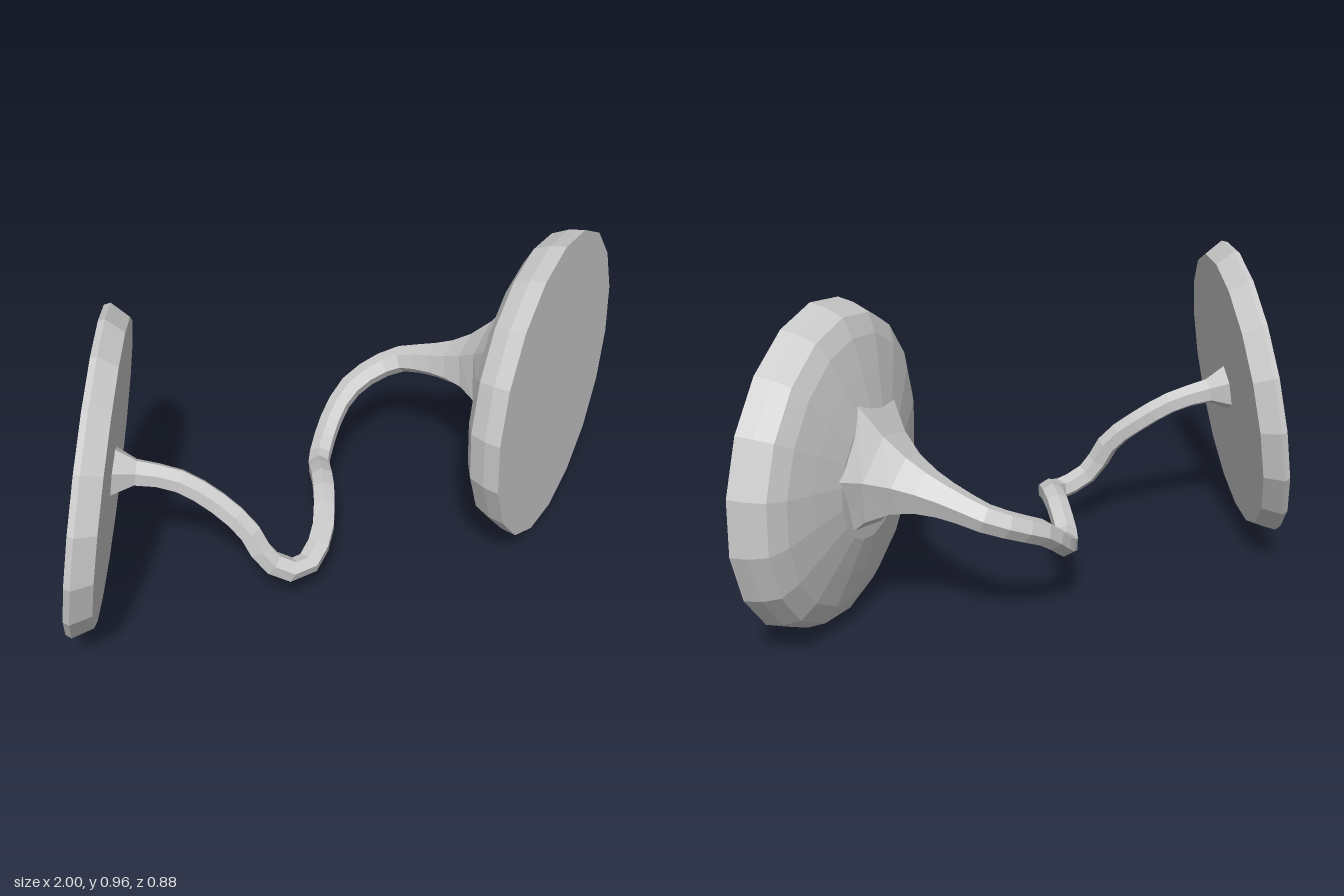
import * as THREE from 'three';

const material = new THREE.MeshStandardMaterial({ color: 0xcccccc, flatShading: true, side: THREE.DoubleSide });
const vec = (p) => new THREE.Vector3(...p);

// Turned disc whose axis (profile y) points along the given direction
function disc(name, profile, sides, centre, axis) {
  const geometry = new THREE.LatheGeometry(profile.map(([r, y]) => new THREE.Vector2(r, y)), sides);
  const mesh = new THREE.Mesh(geometry, material);
  mesh.name = name;
  mesh.position.copy(centre);
  mesh.quaternion.setFromUnitVectors(new THREE.Vector3(0, 1, 0), axis);
  return mesh;
}

// Tube along a curve with a radius rule applied ring by ring
function taperedTube(name, curve, segments, sides, radiusAt) {
  const geometry = new THREE.TubeGeometry(curve, segments, 1, sides);
  const position = geometry.attributes.position;
  const v = new THREE.Vector3();
  for (let i = 0; i <= segments; i++) {
    const c = curve.getPointAt(i / segments);
    const radius = radiusAt(c);
    for (let j = 0; j <= sides; j++) {
      const k = i * (sides + 1) + j;
      v.fromBufferAttribute(position, k).sub(c).multiplyScalar(radius).add(c);
      position.setXYZ(k, v.x, v.y, v.z);
    }
  }
  geometry.computeVertexNormals();
  const mesh = new THREE.Mesh(geometry, material);
  mesh.name = name;
  return mesh;
}

export function createModel() {
  const group = new THREE.Group();
  group.name = 'linkedDiscs';

  // Flat disc on the right, its smaller face turned inward
  const rightAxis = vec([0.905, -0.15, 0.39]).normalize();
  const rightCentre = vec([-0.81, 0.5, -0.012]);
  group.add(disc('flatDisc',
    [[0, 0], [0.465, 0], [0.473, 0.018], [0.44, 0.075], [0, 0.075]],
    18, rightCentre, rightAxis));

  // Domed disc on the left, flat face turned outward
  const leftAxis = vec([0.63, 0.02, 0.77]).normalize();
  const leftCentre = vec([0.625, 0.48, 0.145]);
  group.add(disc('domedDisc',
    [[0, -0.19], [0.19, -0.185], [0.3, -0.157], [0.395, -0.13], [0.45, -0.1], [0.472, -0.05], [0.481, 0], [0, 0]],
    18, leftCentre, leftAxis));

  // Winding cord, with a small foot at one end and a cone-shaped neck at the other
  const path = [
    [-0.745, 0.495, 0.02], [-0.68, 0.485, 0.045], [-0.58, 0.455, 0.085], [-0.49, 0.39, 0.14],
    [-0.42, 0.31, 0.2], [-0.37, 0.2, 0.24], [-0.28, 0.15, 0.26], [-0.19, 0.185, 0.2],
    [-0.13, 0.24, 0.09], [-0.095, 0.24, -0.01], [-0.045, 0.19, -0.15], [0.05, 0.26, -0.26],
    [0.12, 0.32, -0.295], [0.2, 0.36, -0.305], [0.295, 0.4, -0.28], [0.36, 0.43, -0.2],
    [0.425, 0.455, -0.11], [0.49, 0.475, -0.025], [0.525, 0.48, 0.02]
  ].map(vec);
  const start = path[0];
  const curve = new THREE.CatmullRomCurve3(path, false, 'centripetal');
  group.add(taperedTube('cord', curve, 32, 6, (p) => {
    const depth = leftCentre.clone().sub(p).dot(leftAxis);
    const neck = p.x > 0.1 ? 0.155 * Math.exp(-(depth - 0.185) / 0.11) : 0;
    const foot = 0.04 * Math.exp(-p.distanceTo(start) / 0.03);
    return 0.036 + neck + foot;
  }));

  return group;
}
